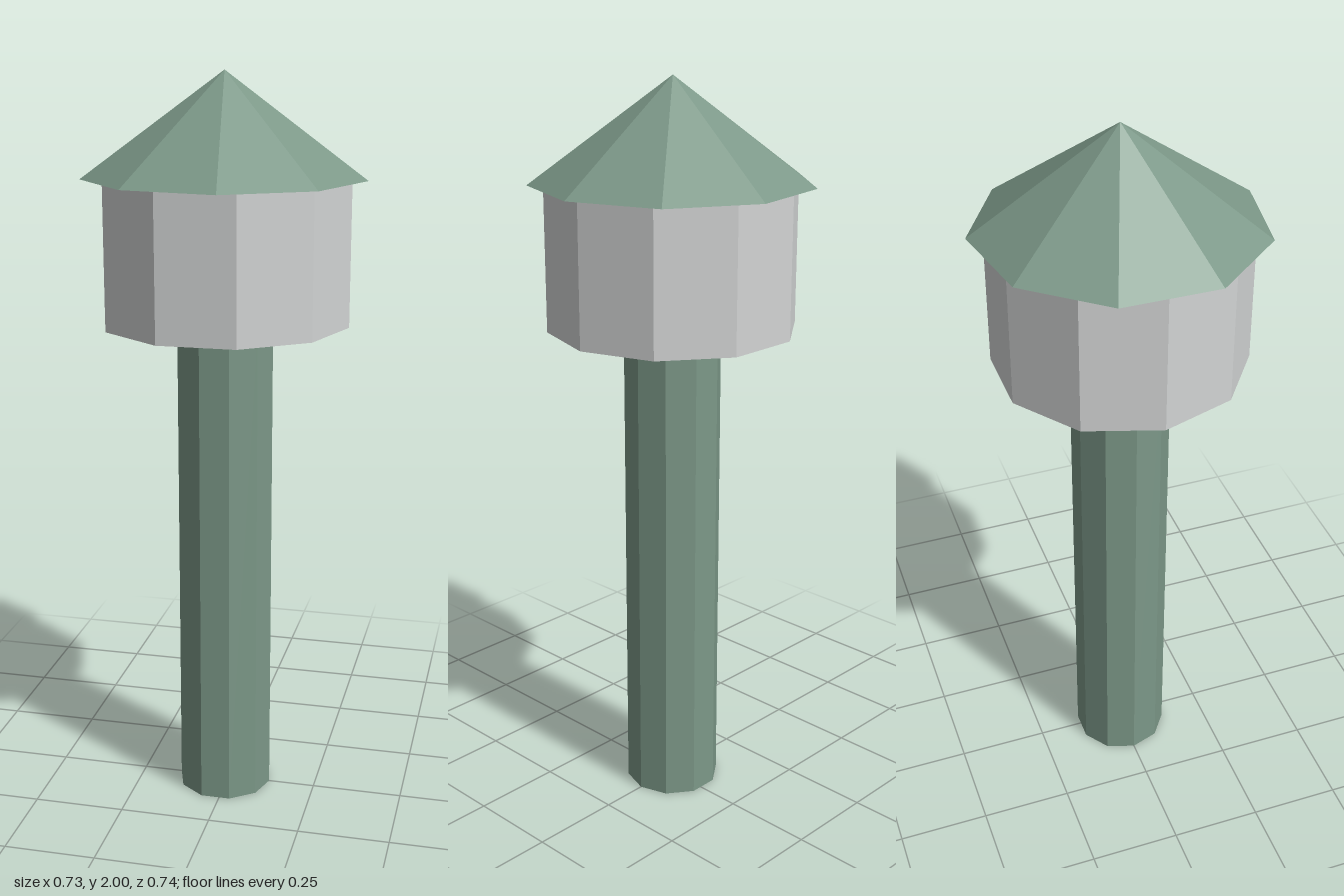
import * as THREE from 'three';

export function createModel() {
  const model = new THREE.Group();
  model.name = 'roofedPost';

  const mat = (name, color) => {
    const m = new THREE.MeshStandardMaterial({ color, flatShading: true });
    m.name = name;
    return m;
  };
  const green = mat('sage green', 0x7c9888);
  const grey = mat('light grey', 0xd2d4d4);

  // Faceted upright part with one corner pointing to +x
  const addPart = (name, rTop, rBottom, y0, y1, sides, material) => {
    const geo = new THREE.CylinderGeometry(rTop, rBottom, y1 - y0, sides, 1, false, Math.PI / 2);
    const mesh = new THREE.Mesh(geo, material);
    mesh.name = name;
    mesh.position.set(-0.011, (y0 + y1) / 2, 0);
    model.add(mesh);
  };

  addPart('post', 0.131, 0.131, 0, 1.35, 10, green);
  addPart('drum', 0.333, 0.333, 1.35, 1.73, 10, grey);
  addPart('roof', 0, 0.374, 1.73, 2, 9, green);

  return model;
}
